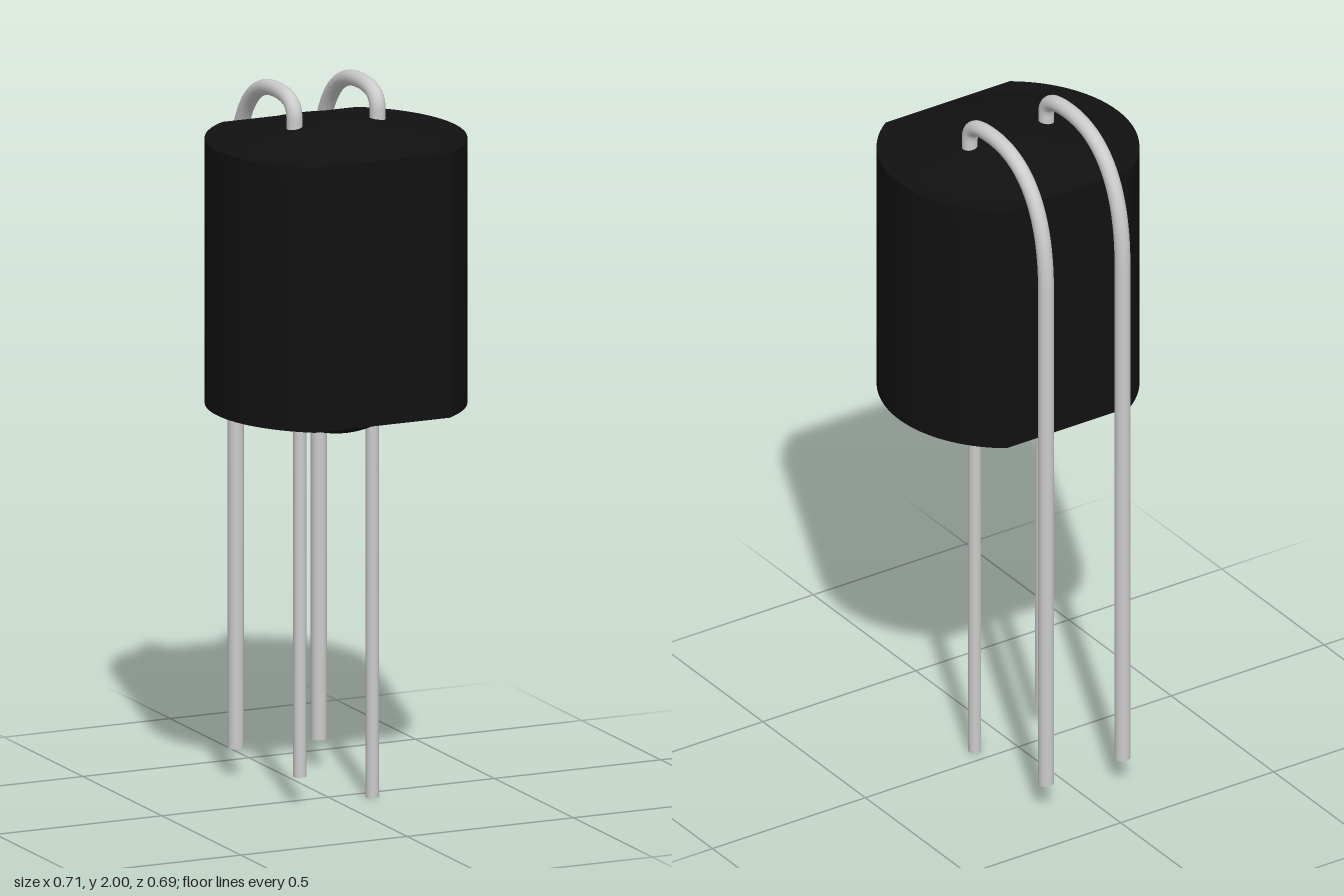
import * as THREE from 'three';
import { toCreasedNormals } from 'three/addons/utils/BufferGeometryUtils.js';

const BODY_Z = 0.05, RADIUS = 0.357, HALF_DEPTH = 0.294;
const BOTTOM = 1.115, TOP = 1.855;

const casingMaterial = new THREE.MeshStandardMaterial({ color: 0x111111 });
const wireMaterial = new THREE.MeshStandardMaterial({ color: 0xcccccc });

function addMesh(parent, name, geometry, material, x, y, z) {
  const mesh = new THREE.Mesh(geometry, material);
  mesh.name = name;
  mesh.position.set(x, y, z);
  parent.add(mesh);
  return mesh;
}

// Shallow spherical cap: base radius a on y = 0, rising to h
function capGeometry(a, h) {
  const r = (a * a + h * h) / (2 * h);
  const sweep = Math.asin(a / r);
  const points = [];
  for (let i = 0; i <= 12; i++) {
    const t = sweep * (1 - i / 12);
    points.push(new THREE.Vector2(r * Math.sin(t), r * Math.cos(t) - r + h));
  }
  return new THREE.LatheGeometry(points, 48);
}

// Round casing cut by a flat at front and back
function casingGeometry() {
  const a = Math.asin(HALF_DEPTH / RADIUS);
  const shape = new THREE.Shape();
  shape.absarc(0, 0, RADIUS, -a, a, false);
  shape.absarc(0, 0, RADIUS, Math.PI - a, Math.PI + a, false);
  shape.closePath();
  const geometry = new THREE.ExtrudeGeometry(shape, {
    depth: TOP - BOTTOM, bevelEnabled: false, curveSegments: 24,
  });
  geometry.rotateX(-Math.PI / 2);
  return toCreasedNormals(geometry, 0.4);
}

// Wire bend from the casing top over to the back
function hookGeometry(radius) {
  const v = (y, z) => new THREE.Vector3(0, y, z);
  const path = new THREE.CurvePath();
  path.add(new THREE.LineCurve3(v(1.86, 0.05), v(1.92, 0.05)));
  path.add(new THREE.CubicBezierCurve3(v(1.92, 0.05), v(1.965, 0.05), v(1.978, 0.01), v(1.978, -0.06)));
  path.add(new THREE.CubicBezierCurve3(v(1.978, -0.06), v(1.978, -0.24), v(1.84, -0.322), v(1.62, -0.322)));
  return new THREE.TubeGeometry(path, 60, radius, 16, false);
}

export function createModel() {
  const model = new THREE.Group();
  model.name = 'radialComponent';

  addMesh(model, 'casing', casingGeometry(), casingMaterial, 0, BOTTOM, BODY_Z);
  addMesh(model, 'topDome', capGeometry(HALF_DEPTH, 0.05), casingMaterial, 0, TOP, BODY_Z);
  const lower = addMesh(model, 'bottomDome', capGeometry(0.187, 0.08), casingMaterial, 0, BOTTOM, BODY_Z);
  lower.rotation.x = Math.PI;

  for (const side of [-1, 1]) {
    const label = side > 0 ? 'left' : 'right';

    // Long wire folded over the back
    const folded = new THREE.Group();
    folded.name = label + 'FoldedWire';
    folded.position.x = side * 0.125;
    model.add(folded);
    addMesh(folded, 'bend', hookGeometry(0.022), wireMaterial, 0, 0, 0);
    const length = 1.62 - 0.08;
    addMesh(folded, 'straight', new THREE.CylinderGeometry(0.022, 0.022, length, 16),
      wireMaterial, 0, 0.08 + length / 2, -0.322);

    // Thin lead below the casing; the left one is longer
    const end = side > 0 ? 0 : 0.08;
    addMesh(model, label + 'Lead', new THREE.CylinderGeometry(0.018, 0.018, 1.065 - end, 16),
      wireMaterial, side * 0.109, (1.065 + end) / 2, BODY_Z);
  }
  return model;
}
